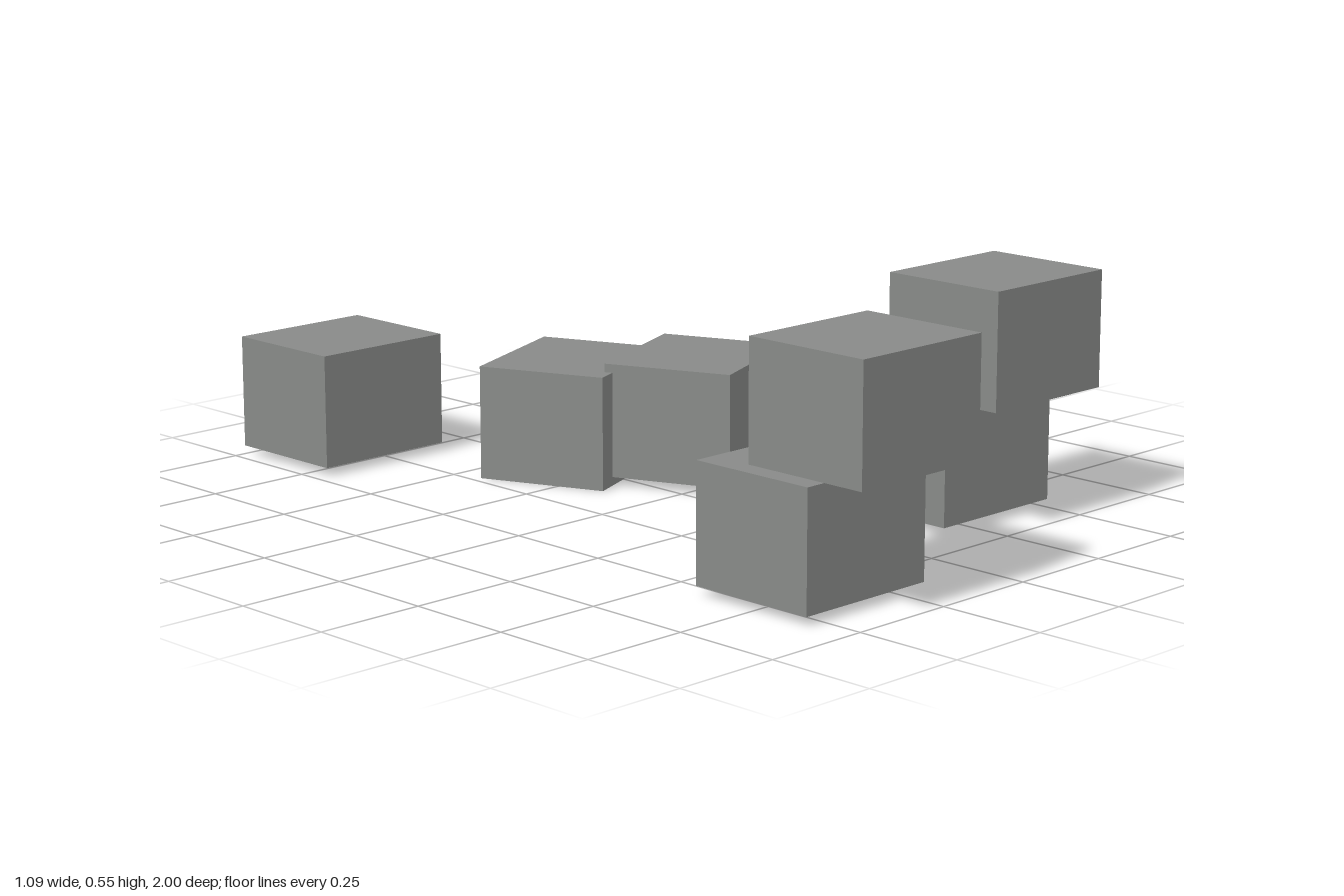
import * as THREE from 'three';

export function createModel() {
  const group = new THREE.Group();
  const grey = new THREE.MeshStandardMaterial({ color: 0x888a88 });
  grey.name = 'grey';

  // One crate size shared by every block
  const H = 0.265;
  const crate = new THREE.BoxGeometry(0.352, H, 0.308);

  // name, centre x, bottom y, centre z, turn about y
  const crates = [
    ['rightLowerCrate', -0.372, 0.02, 0.746, 0],
    ['rightUpperCrate', -0.324, 0.285, 0.846, 0],
    ['leftLowerCrate', 0.321, 0.02, 0.505, 0],
    ['leftUpperCrate', 0.369, 0.285, 0.604, 0],
    ['middleFrontCrate', 0.156, 0.02, -0.11, 0.395],
    ['middleBackCrate', -0.006, 0, -0.355, 0.395],
    ['backCrate', -0.295, 0.02, -0.846, 0],
  ];
  for (const [name, x, y, z, turn] of crates) {
    const mesh = new THREE.Mesh(crate, grey);
    mesh.name = name;
    mesh.position.set(x, y + H / 2, z);
    mesh.rotation.y = turn;
    group.add(mesh);
  }
  return group;
}
